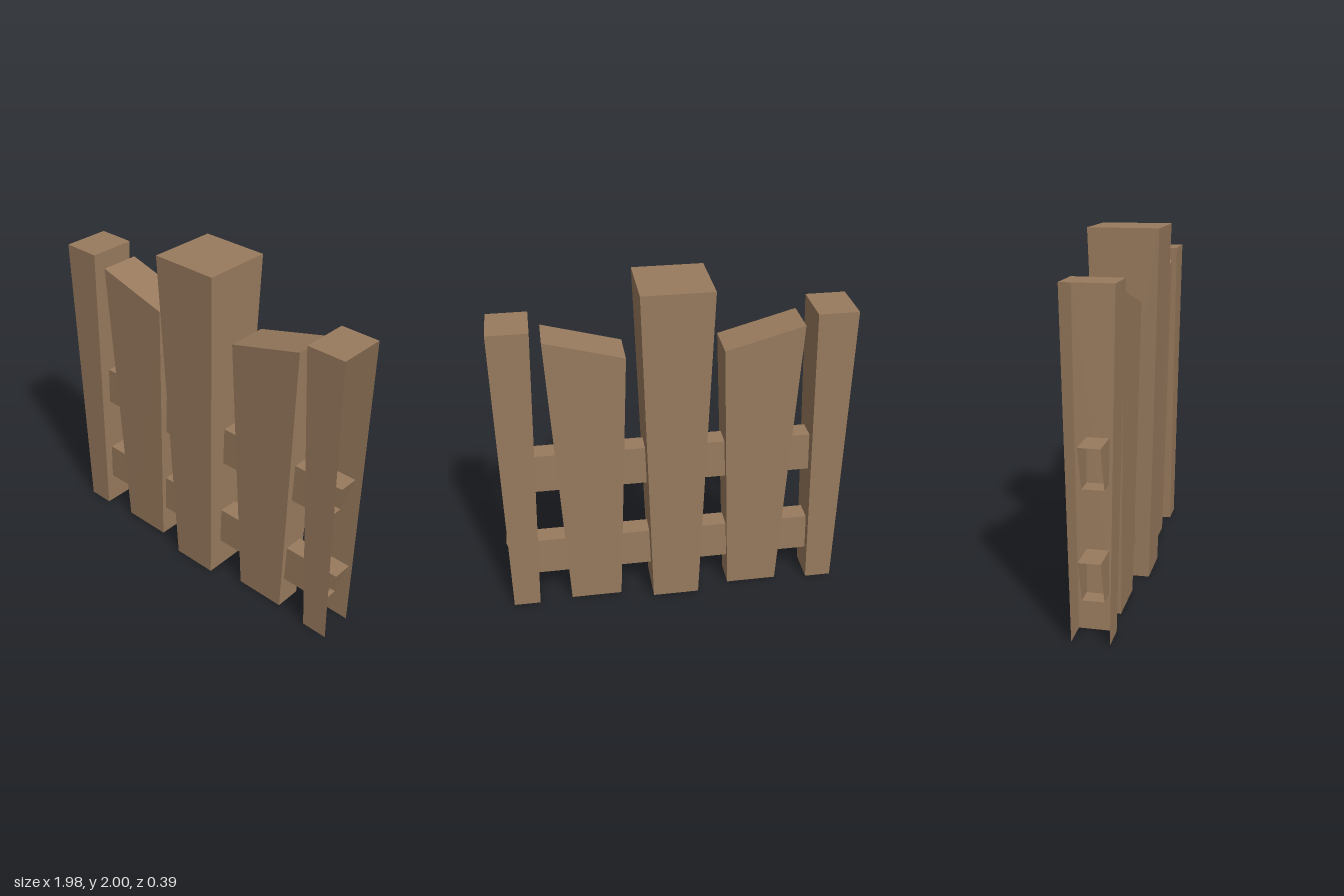
import * as THREE from 'three';

const wood = new THREE.MeshStandardMaterial({ color: 0x997b5e, side: THREE.DoubleSide });
wood.name = 'wood';

// Box faces, in the order BoxGeometry builds them
const RIGHT = 0, LEFT = 1, BOTTOM = 3;

// Hexahedron whose corners are placed by a rule; the listed faces are left open
function block(name, corner, open) {
  const geo = new THREE.BoxGeometry(2, 2, 2);
  const pos = geo.attributes.position;
  for (let i = 0; i < pos.count; i++) {
    pos.setXYZ(i, ...corner(pos.getX(i), pos.getY(i), pos.getZ(i)));
  }
  const index = Array.from(geo.index.array);
  geo.setIndex(index.filter((_, i) => !open.includes(Math.floor(i / 6))));
  geo.clearGroups();
  geo.computeVertexNormals();
  const mesh = new THREE.Mesh(geo, wood);
  mesh.name = name;
  return mesh;
}

// Upright that widens towards the top: [inner x, outer x, half depth] at foot and head
function upright(name, side, foot, head, innerY, outerY, open) {
  return block(name, (sx, sy, sz) => {
    const [inner, outer, depth] = sy > 0 ? head : foot;
    const isOuter = sx * side > 0;
    return [side * (isOuter ? outer : inner), sy > 0 ? (isOuter ? outerY : innerY) : 0, sz * depth];
  }, open);
}

export function createModel() {
  const fence = new THREE.Group();
  fence.name = 'fence';

  // Tall middle post
  fence.add(upright('middlePost', 1, [-0.137, 0.137, 0.137], [-0.195, 0.195, 0.195], 2, 2, [BOTTOM]));

  for (const side of [1, -1]) {
    const label = side > 0 ? 'left' : 'right';
    // Slant-topped planks
    fence.add(upright(label + 'Plank', side, [0.33, 0.63, 0.08], [0.265, 0.7, 0.115], 1.62, 1.74, [BOTTOM]));
    // End posts, open on the outer side
    fence.add(upright(label + 'EndPost', side, [0.825, 0.98, 0.1], [0.757, 0.98, 0.136], 1.81, 1.81,
      [BOTTOM, side > 0 ? RIGHT : LEFT]));
  }

  // Cross rails with slanted open ends
  for (const [name, y0, y1, xBottom, xTop] of [
    ['lowerRail', 0.2, 0.435, 0.915, 0.99],
    ['upperRail', 0.785, 1.02, 0.9, 0.975],
  ]) {
    fence.add(block(name, (sx, sy, sz) =>
      [sx * (sy > 0 ? xTop : xBottom), sy > 0 ? y1 : y0, sz * 0.058], [RIGHT, LEFT]));
  }
  return fence;
}
